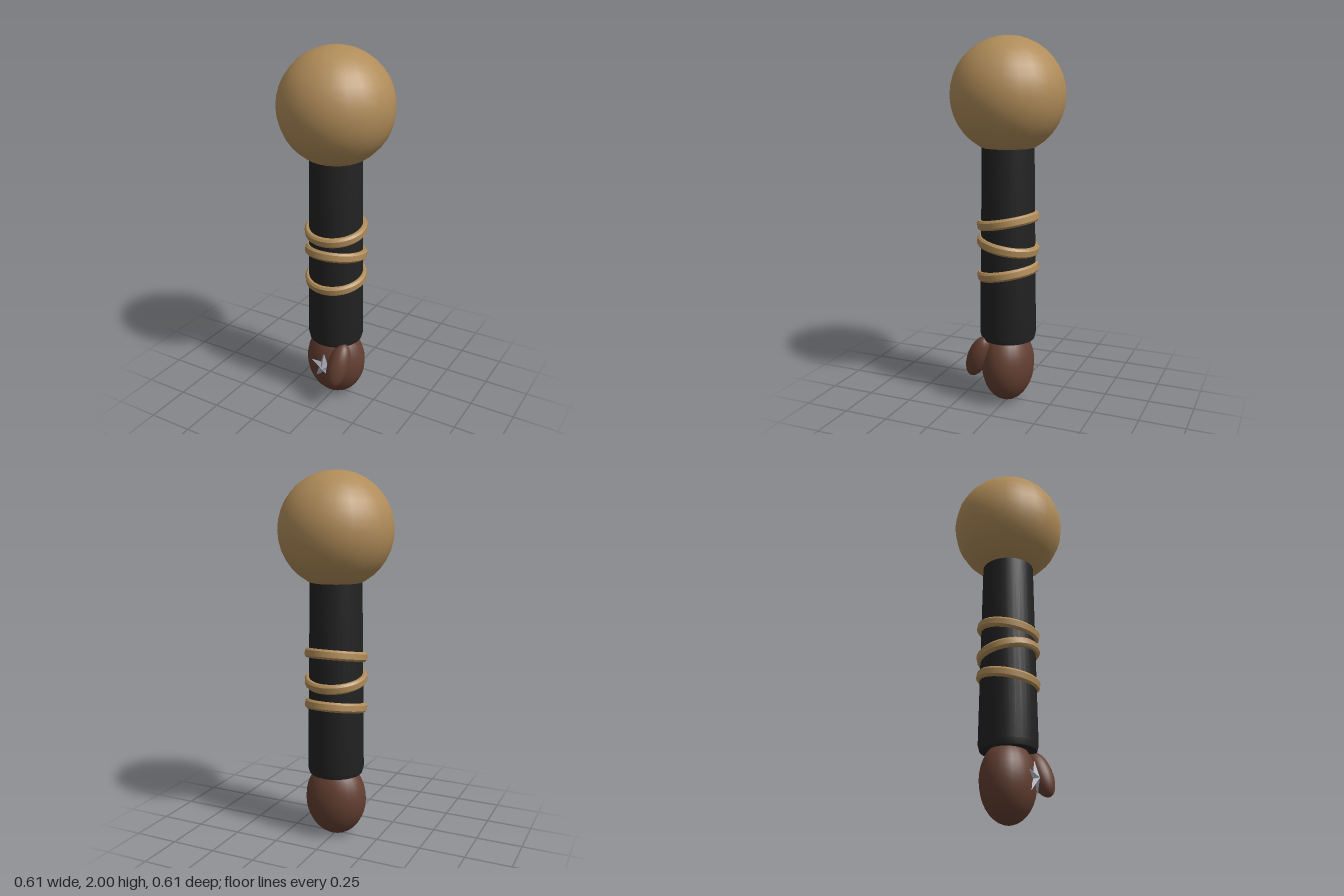
import * as THREE from 'three';
import { toCreasedNormals } from 'three/addons/utils/BufferGeometryUtils.js';

const material = (name, color) => {
  const m = new THREE.MeshStandardMaterial({ color });
  m.name = name;
  return m;
};

export function createModel() {
  const tan = material('tan', 0xb08c59);
  const black = material('black', 0x232323);
  const brown = material('brown', 0x633f32);
  const silver = material('silver', 0xa6a9b8);

  const group = new THREE.Group();
  const add = (name, geometry, mat, x, y, z) => {
    const mesh = new THREE.Mesh(geometry, mat);
    mesh.name = name;
    mesh.position.set(x, y, z);
    group.add(mesh);
    return mesh;
  };
  const lathe = (points, segments, crease) => toCreasedNormals(
    new THREE.LatheGeometry(points.map(([r, y]) => new THREE.Vector2(r, y)), segments), crease);

  // Shoulder ball
  add('shoulderBall', new THREE.SphereGeometry(0.306, 22, 18), tan, 0, 1.694, 0);

  // Tapered sleeve with a turned-in cuff, closed underneath
  add('sleeve', lathe([
    [0, 0.372], [0.13, 0.366], [0.147, 0.368], [0.155, 0.4], [0.14, 1.43], [0.138, 1.5],
  ], 32, 0.6), black, 0, 0, 0);

  // Tilted bands around the sleeve
  const bandGeometry = lathe([
    [0.135, -0.026], [0.16, -0.026], [0.17, -0.015], [0.17, 0.015],
    [0.16, 0.026], [0.135, 0.026], [0.135, -0.026],
  ], 32, 0.6);
  [[1.03, 0.19], [0.897, -0.18], [0.748, 0.19]].forEach(([y, tilt], i) => {
    add('band' + (i + 1), bandGeometry, tan, 0, y, 0).rotation.x = tilt;
  });

  // Mitten hand and thumb
  const ball = new THREE.SphereGeometry(1, 24, 18);
  add('hand', ball, brown, 0, 0.213, 0).scale.set(0.173, 0.211, 0.143);
  const thumb = add('thumb', ball, brown, 0.095, 0.264, 0.14);
  thumb.scale.set(0.061, 0.13, 0.06);
  thumb.rotation.set(-0.4, 0, -0.1);

  // Faceted star on the front of the hand
  const corner = (i) => {
    const r = i % 2 ? 0.036 : 0.087;
    const a = Math.PI / 2 + i * Math.PI / 5;
    return [r * Math.cos(a), r * Math.sin(a), 0];
  };
  const faces = [];
  for (let i = 0; i < 10; i++) {
    faces.push(0, 0, 0.028, ...corner(i), ...corner(i + 1));
    faces.push(0, 0, -0.01, ...corner(i + 1), ...corner(i));
  }
  const starGeometry = new THREE.BufferGeometry();
  starGeometry.setAttribute('position', new THREE.Float32BufferAttribute(faces, 3));
  starGeometry.computeVertexNormals();
  add('star', starGeometry, silver, 0, 0.222, 0.137);

  return group;
}
